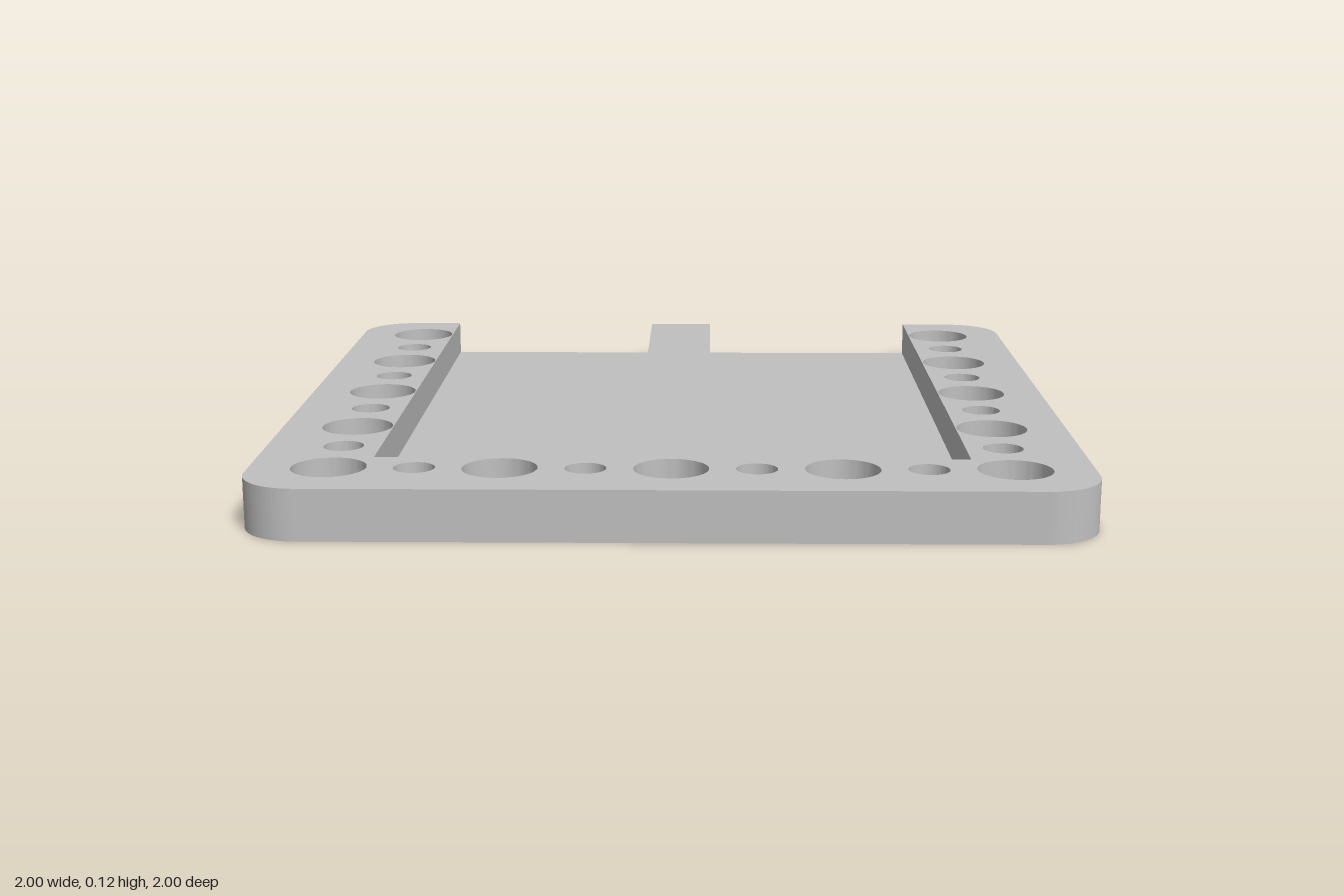
import * as THREE from 'three';
import { toCreasedNormals } from 'three/addons/utils/BufferGeometryUtils.js';

const HEIGHT = 0.125, FLOOR = 0.03, CORNER = 0.14;
const POCKET_IN = 0.094, POCKET_OUT = 0.718, POCKET_FRONT = 0.715;
const HOLE_LINE = 0.81, BIG = 0.09, SMALL = 0.05;

export function createModel() {
  const grey = new THREE.MeshStandardMaterial({ color: 0xc0c0c0 });
  grey.name = 'plain grey';
  const model = new THREE.Group();
  model.name = 'perforatedTray';

  // E-shaped frame outline (shape y is -z): rounded corners, two pockets open at the back
  const s = new THREE.Shape();
  const r = 1 - CORNER;
  s.moveTo(-r, -1);
  s.lineTo(r, -1);
  s.absarc(r, -r, CORNER, -Math.PI / 2, 0);
  s.lineTo(1, r);
  s.absarc(r, r, CORNER, 0, Math.PI / 2);
  for (const [a, b] of [[POCKET_OUT, POCKET_IN], [-POCKET_IN, -POCKET_OUT]]) {
    s.lineTo(a, 1);
    s.lineTo(a, -POCKET_FRONT);
    s.lineTo(b, -POCKET_FRONT);
    s.lineTo(b, 1);
  }
  s.lineTo(-r, 1);
  s.absarc(-r, r, CORNER, Math.PI / 2, Math.PI);
  s.lineTo(-1, -r);
  s.absarc(-r, -r, CORNER, Math.PI, Math.PI * 1.5);

  // Alternating large and small through holes along both sides and the front
  const addHole = (x, z, radius) => {
    const hole = new THREE.Path();
    hole.absarc(x, -z, radius - 0.0005, 0, Math.PI * 2, true);
    s.holes.push(hole);
  };
  for (let i = 0; i <= 8; i++) {
    const t = HOLE_LINE * (i / 4 - 1);
    const radius = i % 2 ? SMALL : BIG;
    addHole(t, HOLE_LINE, radius);
    if (i < 8) for (const side of [-1, 1]) addHole(side * HOLE_LINE, t, radius);
  }

  const frameGeo = new THREE.ExtrudeGeometry(s, { depth: HEIGHT, bevelEnabled: false, curveSegments: 32 });
  frameGeo.rotateX(-Math.PI / 2);
  const frame = new THREE.Mesh(toCreasedNormals(frameGeo, Math.PI / 5), grey);
  frame.name = 'frameWithCentreRib';
  model.add(frame);

  // Thin pocket floors
  const width = POCKET_OUT - POCKET_IN, depth = 1 + POCKET_FRONT;
  for (const side of [-1, 1]) {
    const floor = new THREE.Mesh(new THREE.BoxGeometry(width, FLOOR, depth), grey);
    floor.name = side > 0 ? 'leftPocketFloor' : 'rightPocketFloor';
    floor.position.set(side * (POCKET_IN + POCKET_OUT) / 2, FLOOR / 2, POCKET_FRONT - depth / 2);
    model.add(floor);
  }
  return model;
}
